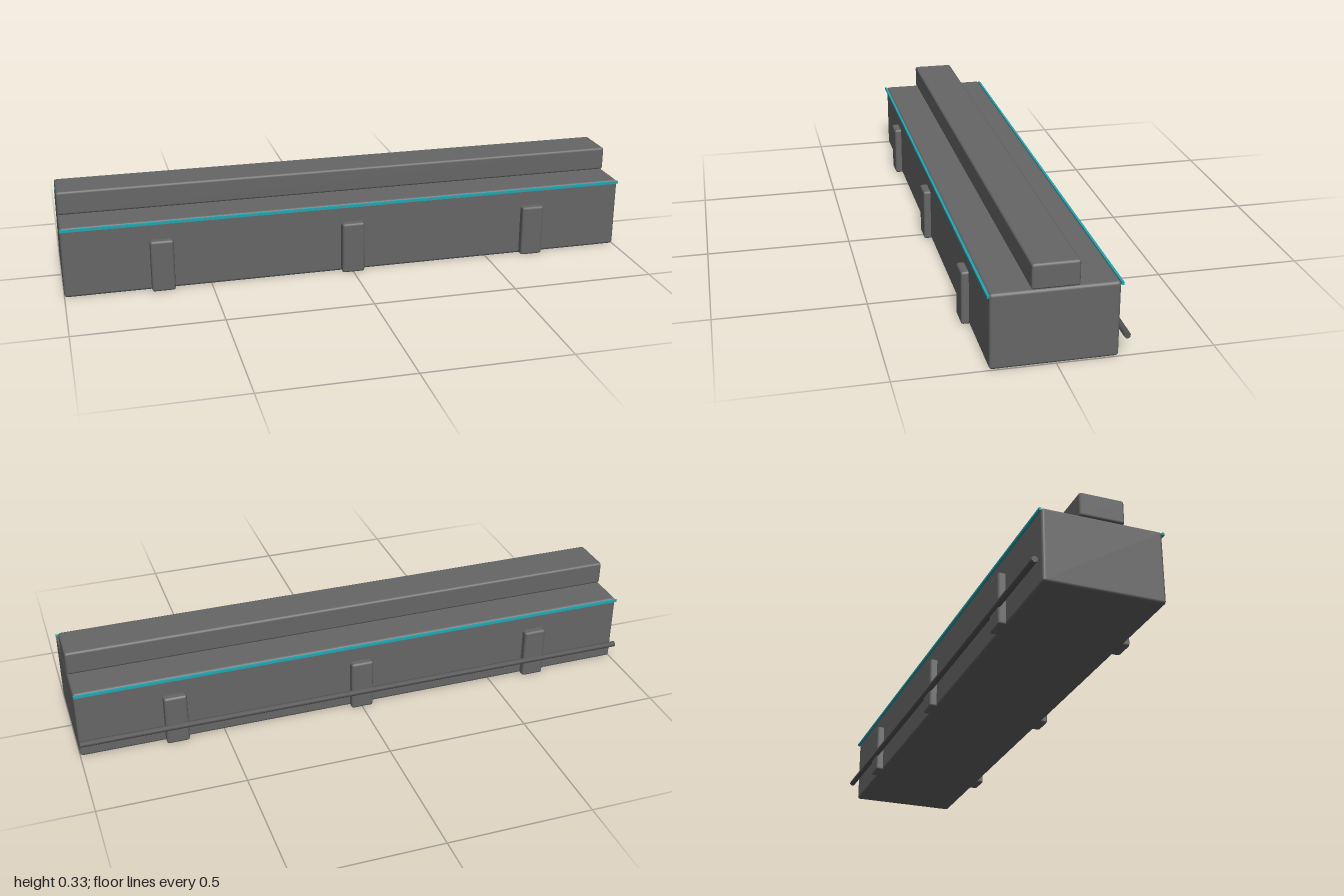
import * as THREE from 'three';
import { RoundedBoxGeometry } from 'three/addons/geometries/RoundedBoxGeometry.js';

const concrete = new THREE.MeshStandardMaterial({ color: 0x666666 });
concrete.name = 'grey concrete';
const metal = new THREE.MeshStandardMaterial({ color: 0x555555 });
metal.name = 'dark metal';
const teal = new THREE.MeshStandardMaterial({ color: 0x22a5b0 });
teal.name = 'teal trim';

const MID_Z = 0.005; // centre plane of the wall

export function createModel() {
  const model = new THREE.Group();
  model.name = 'wallSegment';

  const add = (name, geometry, material, x, y, z) => {
    const mesh = new THREE.Mesh(geometry, material);
    mesh.name = name;
    mesh.position.set(x, y, z);
    model.add(mesh);
    return mesh;
  };

  // Main block and the raised beam along its top
  add('body', new RoundedBoxGeometry(2, 0.25, 0.4, 2, 0.01), concrete, 0, 0.125, MID_Z);
  add('topBeam', new RoundedBoxGeometry(2, 0.083, 0.15, 1, 0.008), concrete, 0, 0.2915, MID_Z);

  // Trim strips and buttresses on both long sides
  const buttress = new RoundedBoxGeometry(0.08, 0.183, 0.05, 1, 0.008);
  const strip = new THREE.BoxGeometry(2, 0.009, 0.008);
  for (const side of [1, -1]) {
    add('trimStrip', strip, teal, 0, 0.243, MID_Z + side * 0.204);
    for (const x of [-0.667, 0, 0.667]) {
      add('buttress', buttress, concrete, x, 0.0915, MID_Z + side * 0.2);
    }
  }

  // Pipe running along the back
  const pipe = new THREE.CylinderGeometry(0.0105, 0.0105, 2, 8);
  pipe.rotateY(Math.PI / 8);
  pipe.rotateZ(Math.PI / 2);
  add('backPipe', pipe, metal, 0, 0.067, -0.22);

  return model;
}
